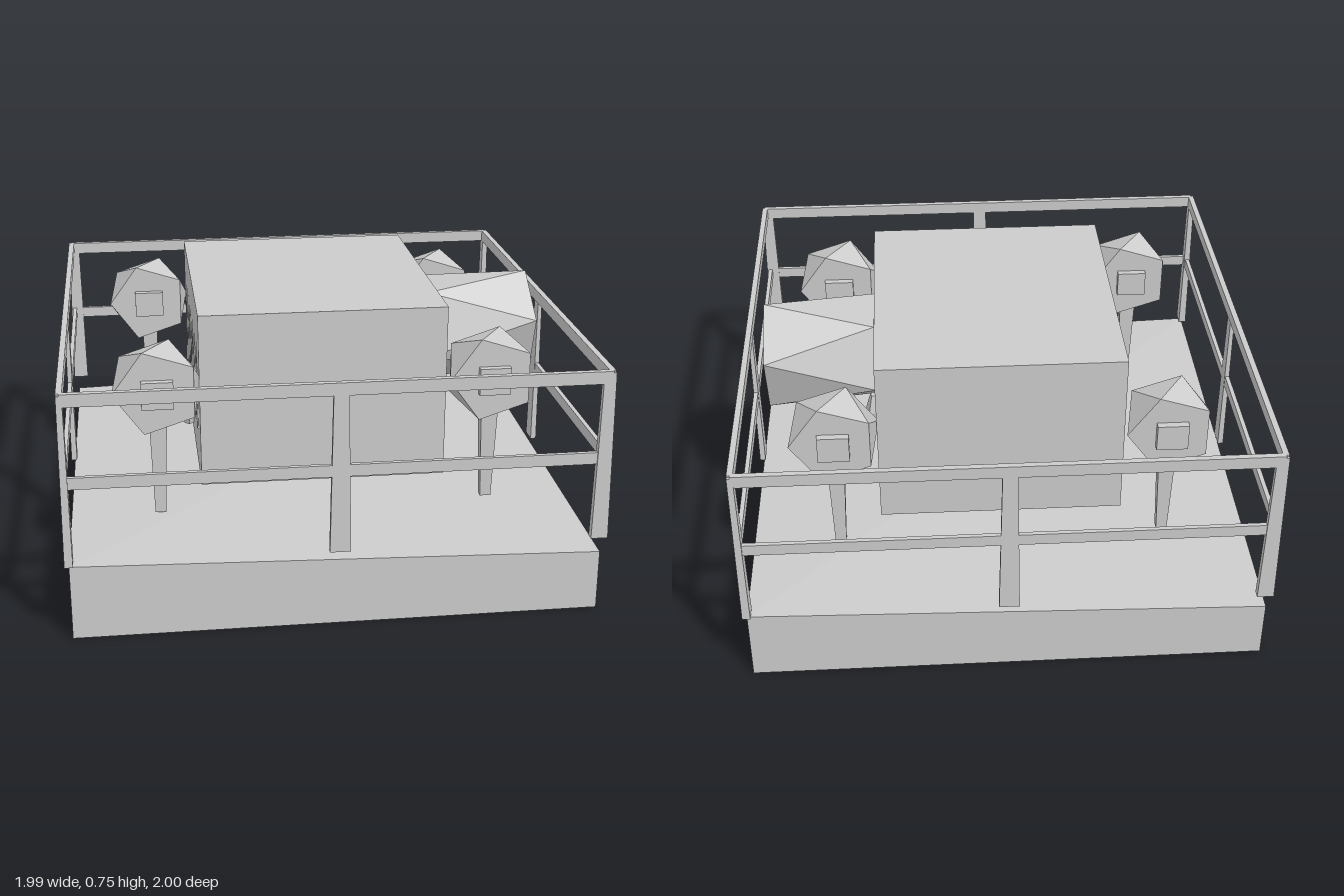
import * as THREE from 'three';
import { ConvexGeometry } from 'three/addons/geometries/ConvexGeometry.js';

const material = new THREE.MeshStandardMaterial({ color: 0xcccccc, flatShading: true });
const openMaterial = new THREE.MeshStandardMaterial({ color: 0xcccccc, flatShading: true, side: THREE.DoubleSide });

function add(parent, name, geometry, x = 0, y = 0, z = 0, mat = material) {
  const mesh = new THREE.Mesh(geometry, mat);
  mesh.name = name;
  mesh.position.set(x, y, z);
  parent.add(mesh);
  return mesh;
}

// Box standing on y = 0 whose top is scaled in x and z
function taperedBox(w, h, d, top) {
  const g = new THREE.BoxGeometry(w, h, d).translate(0, h / 2, 0);
  const p = g.attributes.position;
  for (let i = 0; i < p.count; i++) {
    if (p.getY(i) > h / 2) p.setXYZ(i, p.getX(i) * top, h, p.getZ(i) * top);
  }
  g.computeVertexNormals();
  return g;
}

// Hollow slab without a bottom, with a shallow diagonal ridge across its top
function deckGeometry(w, d) {
  const g = new THREE.BoxGeometry(w, 0.2, d).translate(0, 0.1, 0);
  const p = g.attributes.position;
  for (let i = 0; i < p.count; i++) {
    if (p.getY(i) > 0.1) p.setY(i, p.getX(i) * p.getZ(i) < 0 ? 0.205 : 0.165);
  }
  // the fourth face of the box is its bottom
  g.setIndex(Array.from(g.index.array).filter((_, i) => i < 18 || i >= 24));
  g.clearGroups();
  g.computeVertexNormals();
  return g;
}

// Wheel along z with two pentagon caps turned against each other:
// a corner points to -x on the +z cap and to +x on the -z cap
function facetedWheel(radius, depth) {
  const points = [];
  for (const s of [-1, 1]) {
    for (let i = 0; i < 5; i++) {
      const a = i * Math.PI * 0.4;
      points.push(new THREE.Vector3(-s * radius * Math.cos(a), radius * Math.sin(a), s * depth / 2));
    }
  }
  return new ConvexGeometry(points);
}

export function createModel() {
  const group = new THREE.Group();
  const body = new THREE.Group();
  body.name = 'platform';
  body.rotation.y = -35 * Math.PI / 180;
  group.add(body);

  const U = 0.695, V = 0.712;
  add(body, 'deck', deckGeometry(2 * U, 2 * V), 0, 0, 0, openMaterial);
  add(body, 'housing', new THREE.BoxGeometry(0.675, 0.485, 0.77), 0, 0.5125, 0);

  // Railing: one side at a time, each with its corner post, middle post and rails
  const sides = [[0, U, V], [1, V, U], [2, U, V], [3, V, U]];
  for (const [k, half, offset] of sides) {
    const side = new THREE.Group();
    side.name = 'railingSide';
    side.rotation.y = k * Math.PI / 2;
    body.add(side);
    add(side, 'cornerPost', taperedBox(0.045, 0.46, 0.022, 0.7), half - 0.008, 0.21, offset);
    add(side, 'middlePost', taperedBox(0.055, 0.46, 0.016, 0.7), 0, 0.21, offset);
    add(side, 'topRail', new THREE.BoxGeometry(2 * half, 0.034, 0.016), 0, 0.658, offset);
    add(side, 'middleRail', new THREE.BoxGeometry(2 * half, 0.032, 0.012), 0, 0.437, offset);
  }

  // Four wheels with square hubs on slim stands
  for (const sx of [-1, 1]) {
    for (const sz of [-1, 1]) {
      const unit = new THREE.Group();
      unit.name = 'wheelUnit';
      unit.position.set(sx * 0.452, 0, sz * 0.407);
      body.add(unit);
      add(unit, 'wheel', facetedWheel(0.12, 0.11), 0, 0.57, 0);
      add(unit, 'hub', new THREE.BoxGeometry(0.085, 0.075, 0.15), 0, 0.57, 0);
      add(unit, 'stand', taperedBox(0.03, 0.28, 0.025, 1.6), 0, 0.21, 0);
    }
  }

  // Large drum sticking out of one face of the housing, outer corner upward
  const drum = facetedWheel(0.157, 0.31).rotateZ(-Math.PI / 2).rotateY(Math.PI / 2);
  add(body, 'drum', drum, 0.495, 0.58, 0);

  // Small spouts on both end faces
  for (const s of [-1, 1]) {
    const spout = new THREE.Group();
    spout.name = 'spout';
    spout.position.set(s * 0.352, 0, 0);
    body.add(spout);
    add(spout, 'spoutNeck', new THREE.CylinderGeometry(0.012, 0.028, 0.055, 5), 0, 0.39, 0);
    add(spout, 'spoutTip', new THREE.CylinderGeometry(0.028, 0.014, 0.06, 5), 0, 0.333, 0);
  }

  // Row of narrow vent slats on the other end face
  for (let i = 0; i < 9; i++) {
    add(body, 'ventSlat', taperedBox(0.026, 0.25, 0.026, 0.2).scale(0.35, 1, 1), -0.337, 0.4, -0.3 + i * 0.0725);
  }
  return group;
}
